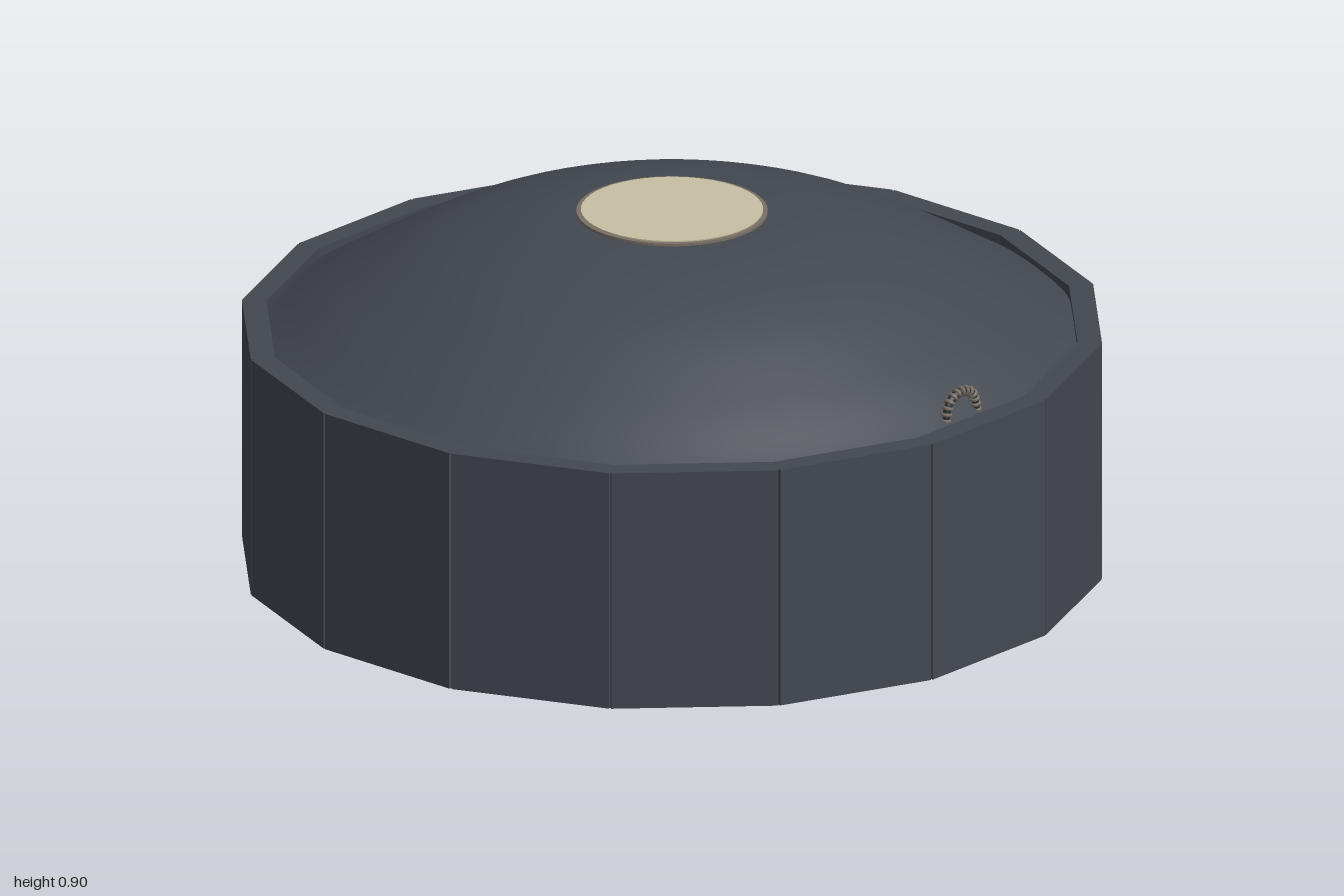
import * as THREE from 'three';

const mat = (name, color, side = THREE.FrontSide) => {
  const m = new THREE.MeshStandardMaterial({ color, side });
  m.name = name;
  return m;
};

export function createModel() {
  const slate = mat('slate', 0x434850);
  const slateShell = mat('slate shell', 0x434850, THREE.DoubleSide);
  const taupe = mat('taupe metal', 0x7a7066);
  const cream = mat('cream', 0xc9c0a4);
  const dark = mat('dark rubber', 0x282b2f);

  const model = new THREE.Group();
  model.name = 'domedDrum';
  const add = (parent, name, geometry, material, x = 0, y = 0, z = 0) => {
    const mesh = new THREE.Mesh(geometry, material);
    mesh.name = name;
    mesh.position.set(x, y, z);
    parent.add(mesh);
    return mesh;
  };

  const SIDES = 16, STEP = Math.PI * 2 / SIDES;

  // Mitred wall panel, extruded upward from its plan outline
  const plan = new THREE.Shape([
    [-0.196, -1], [0.196, -1], [0.1975, -0.993], [0.1875, -0.943], [-0.1875, -0.943], [-0.1975, -0.993],
  ].map(([x, y]) => new THREE.Vector2(x, y)));
  const panelGeo = new THREE.ExtrudeGeometry(plan, { depth: 0.59, bevelEnabled: false });
  panelGeo.rotateX(-Math.PI / 2);

  const sealGeo = new THREE.BoxGeometry(0.014, 0.58, 0.03);
  const rodGeo = new THREE.CylinderGeometry(0.018, 0.018, 0.5, 12);
  const knobGeo = new THREE.CylinderGeometry(0.031, 0.031, 0.045, 12);
  const collarGeo = new THREE.CylinderGeometry(0.025, 0.025, 0.03, 12);
  const ribGeo = new THREE.BoxGeometry(0.03, 0.5, 0.03);

  for (let i = 0; i < SIDES; i++) {
    const side = new THREE.Group();
    side.name = 'wallSection';
    side.rotation.y = i * STEP;
    model.add(side);
    add(side, 'wallPanel', panelGeo, slate, 0, 0.03, 0);

    // Seal and a pair of rods behind each seam
    const seam = new THREE.Group();
    seam.name = 'seamSupport';
    seam.rotation.y = (i + 0.5) * STEP;
    model.add(seam);
    add(seam, 'seamSeal', sealGeo, dark, 0, 0.325, 0.985);
    add(seam, 'drumRib', ribGeo, slate, 0, 0.31, 0.715);
    for (const s of [-1, 1]) {
      add(seam, 'supportRod', rodGeo, taupe, s * 0.04, 0.33, 0.895);
      add(seam, 'rodFoot', knobGeo, dark, s * 0.04, 0.075, 0.895);
      add(seam, 'rodCollar', collarGeo, dark, s * 0.04, 0.55, 0.895);
    }
  }

  // Dome with a softly flared edge
  const domeCurve = new THREE.SplineCurve([
    [0.955, 0.6], [0.92, 0.62], [0.78, 0.705], [0.58, 0.808], [0.39, 0.87], [0.235, 0.893], [0.1, 0.895],
  ].map(([x, y]) => new THREE.Vector2(x, y)));
  add(model, 'dome', new THREE.LatheGeometry(domeCurve.getPoints(32), 64), slateShell);

  // Cap disc and its rim
  add(model, 'capRim', new THREE.CylinderGeometry(0.225, 0.225, 0.012, 48), taupe, 0, 0.894, 0);
  add(model, 'capDisc', new THREE.CylinderGeometry(0.214, 0.214, 0.008, 48), cream, 0, 0.899, 0);

  // Inner drum and base plate
  add(model, 'innerDrum', new THREE.CylinderGeometry(0.71, 0.71, 0.58, 64), slate, 0, 0.315, 0);
  add(model, 'basePlate', new THREE.CylinderGeometry(0.753, 0.753, 0.03, 64), taupe, 0, 0.015, 0);

  // Ribbed hose looping up through the dome edge on the left
  const hosePath = new THREE.CatmullRomCurve3([
    [0.74, 0.3, -0.06], [0.86, 0.32, -0.058], [0.91, 0.42, -0.056], [0.912, 0.6, -0.056], [0.912, 0.66, -0.039],
    [0.912, 0.676, 0], [0.912, 0.66, 0.039], [0.912, 0.6, 0.056], [0.91, 0.42, 0.056], [0.86, 0.32, 0.058],
    [0.74, 0.3, 0.06],
  ].map(p => new THREE.Vector3(...p)));
  const hose = new THREE.Group();
  hose.name = 'hose';
  model.add(hose);
  add(hose, 'hoseCore', new THREE.TubeGeometry(hosePath, 80, 0.009, 8), dark);
  const ringGeo = new THREE.TorusGeometry(0.009, 0.005, 6, 10);
  const ahead = new THREE.Vector3(0, 0, 1);
  for (let i = 0; i <= 70; i++) {
    const p = hosePath.getPointAt(i / 70);
    const ring = add(hose, 'hoseRing', ringGeo, taupe, p.x, p.y, p.z);
    ring.quaternion.setFromUnitVectors(ahead, hosePath.getTangentAt(i / 70));
  }
  return model;
}
